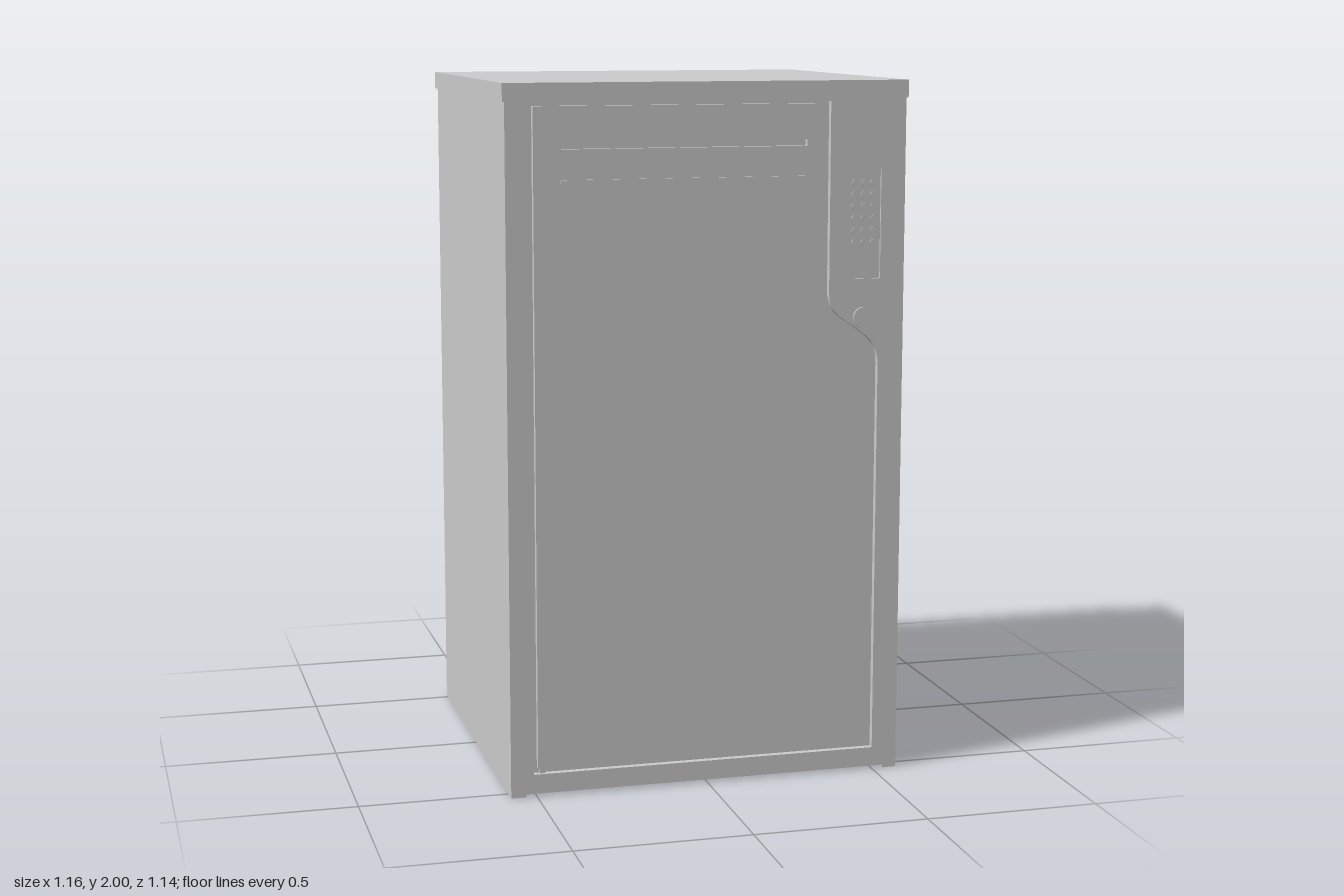
import * as THREE from 'three';
import { RoundedBoxGeometry } from 'three/addons/geometries/RoundedBoxGeometry.js';

const FRONT = 0.541, CORE = 0.522, BACK = -0.527;

export function createModel() {
  const model = new THREE.Group();
  const grey = new THREE.MeshStandardMaterial({ color: 0xcccccc });

  function add(name, geometry, x = 0, y = 0, z = 0, parent = model) {
    const mesh = new THREE.Mesh(geometry, grey);
    mesh.name = name;
    mesh.position.set(x, y, z);
    parent.add(mesh);
    return mesh;
  }
  // Box given by its minimum and maximum corners
  function box(name, x0, x1, y0, y1, z0, z1, parent) {
    return add(name, new THREE.BoxGeometry(x1 - x0, y1 - y0, z1 - z0),
      (x0 + x1) / 2, (y0 + y1) / 2, (z0 + z1) / 2, parent);
  }
  function disc(name, r, z0, z1, x, y, parent) {
    const g = new THREE.CylinderGeometry(r, r, z1 - z0, 32).rotateX(Math.PI / 2);
    return add(name, g, x, y, (z0 + z1) / 2, parent);
  }
  function extrude(name, shape, z0, z1) {
    return add(name, new THREE.ExtrudeGeometry(shape,
      { depth: z1 - z0, bevelEnabled: false, curveSegments: 16 }), 0, 0, z0);
  }
  function roundRect(target, x0, x1, y0, y1, r) {
    target.moveTo(x0 + r, y0);
    target.lineTo(x1 - r, y0).quadraticCurveTo(x1, y0, x1, y0 + r);
    target.lineTo(x1, y1 - r).quadraticCurveTo(x1, y1, x1 - r, y1);
    target.lineTo(x0 + r, y1).quadraticCurveTo(x0, y1, x0, y1 - r);
    target.lineTo(x0, y0 + r).quadraticCurveTo(x0, y0, x0 + r, y0);
    return target;
  }
  // Outline of the front door: its right edge steps in around the lock area
  function doorOutline(target, left, bottom, top, grow) {
    const low = 0.488 + grow, high = 0.34 + grow, mid = (low + high) / 2;
    target.moveTo(left, bottom);
    target.lineTo(low, bottom);
    target.lineTo(low, 1.185 + grow);
    target.bezierCurveTo(low, 1.25 + grow, 0.455 + grow, 1.265 + grow, mid, 1.297 + grow);
    target.bezierCurveTo(0.37 + grow, 1.325 + grow, high, 1.34 + grow, high, 1.40 + grow);
    target.lineTo(high, top);
    target.lineTo(left, top);
    target.lineTo(left, bottom);
    return target;
  }

  // Cabinet core, side skirts and base strips
  box('body', -0.574, 0.574, 0.02, 1.95, BACK, CORE);
  for (const s of [-1, 1]) {
    box('sideSkirt', s * 0.5525 - 0.0215, s * 0.5525 + 0.0215, 0, 0.02, BACK, FRONT);
  }
  box('frontSkirt', -0.531, 0.531, 0.008, 0.02, 0.50, FRONT);
  box('backSkirt', -0.531, 0.531, 0.008, 0.02, BACK, -0.485);
  box('topPanel', -0.58, 0.58, 1.95, 2, -0.538, FRONT + 0.001);

  // Feet under the corners
  for (const x of [-0.47, 0.47]) for (const z of [-0.43, 0.43]) {
    add('foot', new THREE.CylinderGeometry(0.018, 0.018, 0.012, 20), x, 0.014, z);
  }

  // Front frame with openings for the door and keypad
  const frame = new THREE.Shape();
  frame.moveTo(-0.574, 0.02);
  frame.lineTo(0.574, 0.02);
  frame.lineTo(0.574, 1.95);
  frame.lineTo(-0.574, 1.95);
  frame.holes.push(doorOutline(new THREE.Path(), -0.508, 0.064, 1.943, 0.012));
  frame.holes.push(roundRect(new THREE.Path(), 0.405, 0.503, 1.443, 1.76, 0.008));
  extrude('frontFrame', frame, CORE, FRONT);

  // Front door with a posting slot and a raised lip below it
  const door = doorOutline(new THREE.Shape(), -0.496, 0.079, 1.937, 0);
  door.holes.push(roundRect(new THREE.Path(), -0.42, 0.284, 1.82, 1.841, 0.004));
  extrude('frontDoor', door, CORE, FRONT);
  extrude('slotLip', roundRect(new THREE.Shape(), -0.42, 0.284, 1.722, 1.737, 0.007),
    FRONT - 0.005, FRONT + 0.005);
  box('lowerPivot', -0.49, -0.475, 0.066, 0.079, CORE, FRONT - 0.003);

  // Keypad
  const keypad = new THREE.Group();
  keypad.name = 'keypad';
  model.add(keypad);
  box('keypadPlate', 0.405, 0.503, 1.443, 1.76, CORE - 0.002, FRONT - 0.006, keypad);
  for (let row = 0; row < 6; row++) for (let col = 0; col < 3; col++) {
    disc('key', 0.009, FRONT - 0.008, FRONT - 0.003,
      0.426 + col * 0.028, 1.545 + row * 0.034, keypad);
  }

  // Front lock
  disc('frontLock', 0.03, FRONT - 0.005, FRONT + 0.006, 0.454, 1.333);
  box('frontKeyway', 0.452, 0.456, 1.32, 1.346, FRONT, FRONT + 0.0075);

  // Back door with softened edges
  add('backDoor', new RoundedBoxGeometry(0.965, 1.868, 0.054, 3, 0.008),
    -0.0075, 0.994, -0.553);
  disc('backLock', 0.028, -0.587, -0.575, -0.35, 1.0);
  box('backKeyway', -0.353, -0.347, 0.985, 1.015, -0.589, -0.58);

  // Hinges along the back door edge
  for (const y of [0.288, 1.705]) {
    const hinge = new THREE.Group();
    hinge.name = 'hinge';
    hinge.position.set(0.478, y, 0);
    model.add(hinge);
    add('hingePin', new THREE.CylinderGeometry(0.007, 0.007, 0.108, 16), 0.003, 0, -0.54, hinge);
    box('hingeLeaf', -0.006, 0.002, -0.036, 0.036, -0.552, BACK, hinge);
    for (const s of [-1, 1]) {
      box('hingeArm', -0.004, 0.008, s * 0.036 - 0.004, s * 0.036 + 0.004, -0.564, BACK, hinge);
      add('hingeScrew', new THREE.CylinderGeometry(0.005, 0.005, 0.016, 12).rotateZ(Math.PI / 2),
        0, s * 0.036, -0.561, hinge);
    }
  }
  return model;
}
